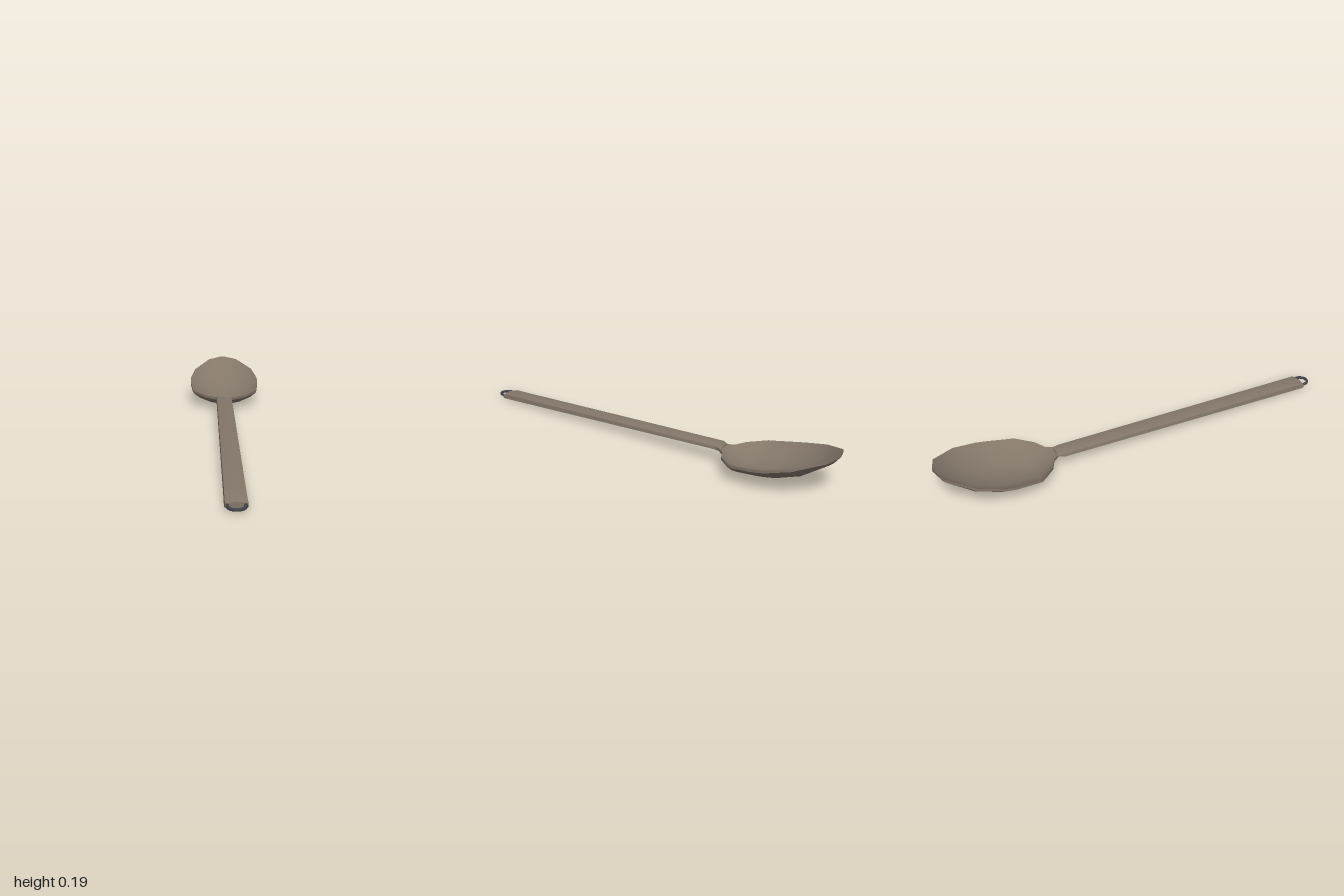
import * as THREE from 'three';
import { toCreasedNormals } from 'three/addons/utils/BufferGeometryUtils.js';

// Skins closed cross-sections (counter-clockwise seen from +z, ordered towards +z) and caps both ends.
function loft(sections, crease) {
  const n = sections[0].length, last = (sections.length - 1) * n;
  const index = [];
  for (let i = 0; i < sections.length - 1; i++) {
    for (let j = 0; j < n; j++) {
      const k = (j + 1) % n;
      const a = i * n + j, b = i * n + k, c = b + n, d = a + n;
      index.push(a, b, c, a, c, d);
    }
  }
  for (let j = 1; j < n - 1; j++) {
    index.push(0, j + 1, j);
    index.push(last, last + j, last + j + 1);
  }
  const geometry = new THREE.BufferGeometry();
  geometry.setAttribute('position', new THREE.Float32BufferAttribute(sections.flat(2), 3));
  geometry.setIndex(index);
  return toCreasedNormals(geometry, crease);
}

// Bowl section: curved underside, thin rim edge, hollowed upper side
function bowlSection([z, w, rim, bottom]) {
  const steps = [-1, -0.8, -0.45, 0, 0.45, 0.8, 1];
  const lip = 0.013;
  const floor = Math.min(rim, bottom + 0.014);
  const curve = (edge, low, s) => low + (edge - low) * Math.abs(s) ** 2.5;
  const under = steps.map(s => [w * s, curve(rim - lip, bottom, s), z]);
  const upper = steps.map(s => [w * s, curve(rim, floor, s), z]).reverse();
  return [...under, ...upper];
}

// Handle section: flattened hexagonal bar with a slight ridge above and below
function handleSection([z, w, bottom, top]) {
  const x = -0.008;
  const low = bottom + 0.007, high = top - 0.007;
  return [
    [x - w, low, z], [x, bottom, z], [x + w, low, z],
    [x + w * 0.94, high, z], [x, top, z], [x - w * 0.94, high, z],
  ];
}

export function createModel() {
  const model = new THREE.Group();
  model.name = 'spoon';

  const brown = new THREE.MeshStandardMaterial({ color: 0x84776a });
  brown.name = 'warm brown';
  const dark = new THREE.MeshStandardMaterial({ color: 0x44444c });
  dark.name = 'dark grey';

  const add = (name, geometry, material) => {
    const mesh = new THREE.Mesh(geometry, material);
    mesh.name = name;
    model.add(mesh);
  };

  // Bowl and neck: z, half width, rim height, lowest height
  const bowl = [
    [-1.0, 0.004, 0.19, 0.176],
    [-0.975, 0.078, 0.178, 0.145],
    [-0.865, 0.16, 0.143, 0.072],
    [-0.755, 0.185, 0.115, 0.034],
    [-0.7, 0.185, 0.104, 0.023],
    [-0.6, 0.173, 0.088, 0.012],
    [-0.575, 0.169, 0.085, 0.014],
    [-0.5, 0.105, 0.078, 0.031],
    [-0.47, 0.052, 0.075, 0.055],
    [-0.44, 0.032, 0.077, 0.062],
    [-0.4, 0.03, 0.08, 0.064],
  ];
  add('bowl', loft(bowl.map(bowlSection), 0.7), brown);

  // Handle: z, half width, lowest and highest height
  const handle = [
    [-0.445, 0.03, 0.064, 0.083],
    [-0.415, 0.041, 0.06, 0.088],
    [0.8, 0.045, 0.007, 0.043],
    [0.93, 0.046, 0.002, 0.038],
    [0.945, 0.044, 0.002, 0.034],
  ];
  add('handle', loft(handle.map(handleSection), 0.5), brown);

  // Hanging loop at the end of the handle
  const path = [new THREE.Vector3(-0.042, 0.02, 0.925)];
  for (let i = 0; i <= 8; i++) {
    const a = Math.PI * (1 - i / 8);
    path.push(new THREE.Vector3(-0.008 + 0.034 * Math.cos(a), 0.02, 0.955 + 0.038 * Math.sin(a)));
  }
  path.push(new THREE.Vector3(0.026, 0.02, 0.925));
  add('hangingLoop', new THREE.TubeGeometry(new THREE.CatmullRomCurve3(path), 24, 0.007, 8), dark);

  return model;
}
